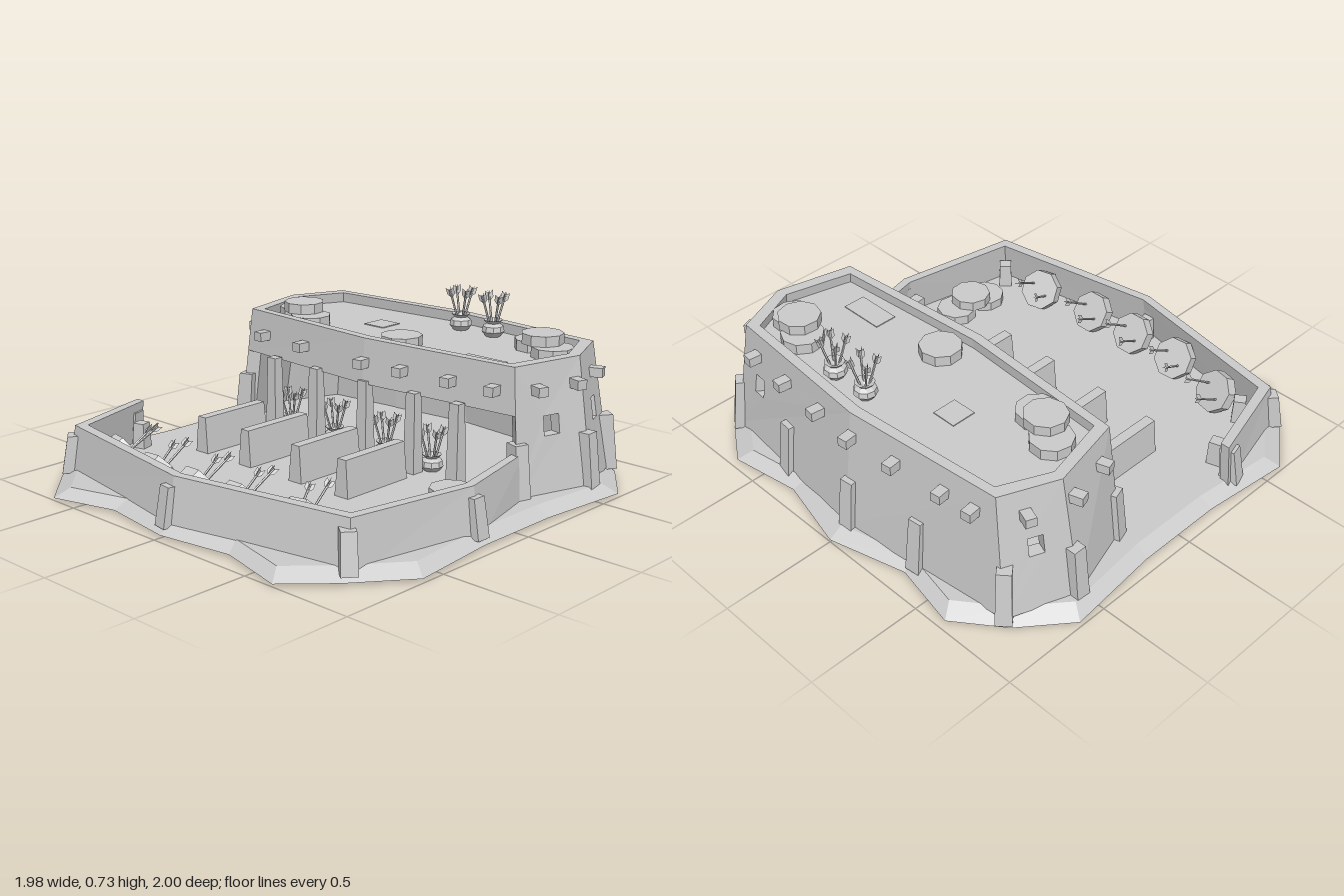
import * as THREE from 'three';

const mat = new THREE.MeshStandardMaterial({ color: 0xcccccc, flatShading: true, side: THREE.DoubleSide });
const lerp = THREE.MathUtils.lerp;

function add(parent, name, geo, x = 0, y = 0, z = 0) {
  const m = new THREE.Mesh(geo, mat);
  m.name = name;
  m.position.set(x, y, z);
  parent.add(m);
  return m;
}

// Moves every vertex by a rule
function warp(geo, rule) {
  const p = geo.attributes.position, v = new THREE.Vector3();
  for (let i = 0; i < p.count; i++) {
    rule(v.fromBufferAttribute(p, i));
    p.setXYZ(i, v.x, v.y, v.z);
  }
  geo.computeVertexNormals();
  return geo;
}

// Horizontal slab from an [x, z] outline
function slab(points, height) {
  const shape = new THREE.Shape(points.map(([x, z]) => new THREE.Vector2(x, -z)));
  return new THREE.ExtrudeGeometry(shape, { depth: height, bevelEnabled: false }).rotateX(-Math.PI / 2);
}

// Open-bottomed sheet: a sloping skirt around a flat floor
function groundSheet(rim, low, high, inner) {
  const pos = [0, high, 0], index = [], n = rim.length;
  rim.forEach(([x, z], i) => {
    pos.push(x, low, z, x * inner, high, z * inner);
    const a = 1 + 2 * i, b = 1 + 2 * ((i + 1) % n);
    index.push(a, b, b + 1, a, b + 1, a + 1, 0, a + 1, b + 1);
  });
  const g = new THREE.BufferGeometry();
  g.setAttribute('position', new THREE.Float32BufferAttribute(pos, 3));
  g.setIndex(index);
  g.computeVertexNormals();
  return g;
}

// Box standing on y = 0, narrowing towards the top
function taperBox(w, h, d, tw, td) {
  return warp(new THREE.BoxGeometry(w, h, d).translate(0, h / 2, 0), v => {
    if (v.y > h / 2) { v.x *= tw; v.z *= td; }
  });
}

// A battered wall run: bottom and top outlines, heights and an inset rule
function wallRun(bottom, top, y0, y1, inset) {
  const n = bottom.length;
  const at = (i, u, v) => {
    const a = bottom[i % n], b = bottom[(i + 1) % n], c = top[i % n], d = top[(i + 1) % n];
    return new THREE.Vector3(
      lerp(lerp(a[0], b[0], u), lerp(c[0], d[0], u), v), lerp(y0, y1, v),
      lerp(lerp(a[1], b[1], u), lerp(c[1], d[1], u), v));
  };
  const yaw = i => {
    const a = at(i, 0, 0), b = at(i, 1, 0);
    return Math.atan2(-(b.z - a.z), b.x - a.x);
  };
  // One panel, with an optional window [u0, u1, v0, v1]
  const panel = (i, vMin = 0, win = null) => {
    const rect = (C, u0, u1, v0, v1) => new C([[u0, v0], [u1, v0], [u1, v1], [u0, v1]].map(p => new THREE.Vector2(...p)));
    const s = rect(THREE.Shape, 0, 1, vMin, 1);
    if (win) s.holes.push(rect(THREE.Path, ...win));
    return warp(new THREE.ExtrudeGeometry(s, { depth: 1, bevelEnabled: false }), p => {
      const o = at(i, p.x, p.y), q = inset(o);
      p.set(lerp(q[0], o.x, p.z), o.y, lerp(q[1], o.z, p.z));
    });
  };
  return { at, yaw, panel };
}

function arrow(length) {
  const g = new THREE.Group();
  g.name = 'arrow';
  add(g, 'shaft', new THREE.CylinderGeometry(0.005, 0.005, length, 5), 0, length / 2, 0);
  const f = new THREE.Shape([[0, 0], [0.018, 0.02], [0.018, 0.05], [0, 0.035], [-0.018, 0.05], [-0.018, 0.02]]
    .map(p => new THREE.Vector2(...p)));
  for (let k = 0; k < 2; k++)
    add(g, 'feather', new THREE.ShapeGeometry(f), 0, length - 0.04, 0).rotation.y = k * Math.PI / 2 + 0.4;
  return g;
}

function quiverPot(parent, x, y, z) {
  const g = new THREE.Group();
  g.name = 'arrowPot';
  g.position.set(x, y, z);
  const prof = [[0, 0], [0.03, 0], [0.05, 0.025], [0.046, 0.048], [0.028, 0.06], [0.042, 0.075], [0.025, 0.07], [0, 0.05]];
  add(g, 'pot', new THREE.LatheGeometry(prof.map(p => new THREE.Vector2(...p)), 9));
  for (let k = 0; k < 4; k++) {
    const a = arrow(0.16), t = k * Math.PI / 2 + 0.5;
    a.position.set(Math.cos(t) * 0.01, 0.03, Math.sin(t) * 0.01);
    a.rotation.set(Math.sin(t) * 0.28, 0, -Math.cos(t) * 0.28);
    g.add(a);
  }
  parent.add(g);
}

function disc(parent, x, y, z) {
  add(parent, 'roundBale', new THREE.CylinderGeometry(0.09, 0.09, 0.045, 9), x, y + 0.0225, z).rotation.y = x * 7 + z * 3;
}

function stack(parent, y, low1, low2, high) {
  disc(parent, low1[0], y, low1[1]);
  disc(parent, low2[0], y - 0.002, low2[1]);
  disc(parent, high[0], y + 0.042, high[1]);
}

export function createModel() {
  const root = new THREE.Group();
  root.name = 'archeryYard';

  // Ground sheet with a ragged, sloping rim
  const rim = [[0, 0.97], [0.33, 0.92], [0.64, 1], [0.81, 0.83], [0.99, 0.6], [0.95, 0.2], [0.95, -0.2], [0.99, -0.62],
    [0.82, -0.85], [0.64, -0.97], [0.33, -0.92], [0, -1], [-0.34, -0.91], [-0.63, -0.97], [-0.83, -0.82],
    [-0.99, -0.62], [-0.95, -0.2], [-0.95, 0.2], [-0.99, 0.6], [-0.83, 0.81], [-0.63, 1], [-0.34, 0.92]];
  add(root, 'ground', groundSheet(rim, 0.01, 0.05, 0.94));

  // Building walls: the lower half of the front is open
  const mirrorLoop = h => [...h, ...h.slice(1, -1).reverse().map(([x, z]) => [-x, z])];
  const bTop = mirrorLoop([[0, -0.165], [0.745, -0.22], [0.82, -0.55], [0.72, -0.79], [0, -0.85]]);
  const bBot = mirrorLoop([[0, -0.125], [0.8, -0.19], [0.91, -0.54], [0.8, -0.83], [0, -0.915]]);
  const house = wallRun(bBot, bTop, 0.04, 0.575, p => [p.x * 0.94, -0.5 + (p.z + 0.5) * 0.87]);
  const windows = { 1: [0.4, 0.62, 0.45, 0.6], 2: [0.45, 0.65, 0.45, 0.62], 3: [0.13, 0.21, 0.45, 0.62], 5: [0.4, 0.62, 0.45, 0.6] };
  for (let i = 0; i < 8; i++)
    add(root, 'buildingWall', house.panel(i, i === 0 || i === 7 ? 0.635 : 0, windows[i]));
  add(root, 'roof', slab(bTop.map(([x, z]) => [x * 0.955, -0.505 + (z + 0.505) * 0.9]), 0.03), 0, 0.5, 0);

  // Flat hatches on the roof
  add(root, 'roofHatch', new THREE.BoxGeometry(0.11, 0.006, 0.11), -0.24, 0.531, -0.54);
  add(root, 'roofHatch', new THREE.BoxGeometry(0.2, 0.006, 0.1), 0.48, 0.531, -0.34);

  // Beam ends along the upper wall: [panel, positions along it]
  const beams = [[0, [0.01, 0.28, 0.6, 0.88]], [7, [0.16, 0.51]], [1, [0.3, 0.88]], [2, [0.6]], [5, [0.4]], [6, [0.12, 0.7]],
    [3, [0.14, 0.43, 0.74]], [4, [0.02, 0.33, 0.66, 0.86]]];
  for (const [i, us] of beams) for (const u of us) {
    const p = house.at(i, u, 0.81);
    add(root, 'beamEnd', new THREE.BoxGeometry(0.045, 0.04, 0.11), p.x, p.y, p.z).rotation.y = house.yaw(i);
  }

  // Buttresses that lean back against a wall
  const buttress = (run, i, u, top, turn = 0) => {
    const p = run.at(i, u, 0), h = top - 0.03;
    const geo = warp(taperBox(0.066, h, 0.08, 0.9, 0.8), v => { v.z -= v.y > h / 2 ? 0.035 : 0.015; });
    add(root, 'buttress', geo, p.x, 0.03, p.z).rotation.y = run.yaw(i) + turn;
  };
  for (const [i, u, turn] of [[1, 0.05, 0], [2, 0, -0.3], [3, 0, -0.5], [3, 0.48, 0], [4, 0.02, 0], [4, 0.46, 0], [5, 0, -0.5],
    [6, 0, -0.3], [6, 0.95, 0]]) buttress(house, i, u, 0.27, turn);

  // Low yard wall with an entrance gap at one side
  const yBot = [[-0.93, 0.33], [-0.81, 0.79], [0, 0.93], [0.81, 0.79], [0.92, 0.2], [0.81, -0.24]];
  const yTop = [[-0.91, 0.33], [-0.79, 0.76], [0, 0.895], [0.79, 0.76], [0.89, 0.2], [0.79, -0.24]];
  const yard = wallRun(yBot, yTop, 0, 0.23, p => [p.x * 0.955, p.z > 0.5 ? p.z - 0.04 : p.z]);
  for (let i = 0; i < 5; i++) add(root, 'yardWall', yard.panel(i));
  for (const [i, u, turn] of [[0, 0.12, 0], [1, 0, -0.5], [1, 0.97, 0], [3, 0, -0.5], [4, 0, -0.25]])
    buttress(yard, i, u, 0.19, turn);
  for (const [x, z, a] of [[-0.8, 0.4, 0.3], [-0.7, 0.68, 0.6], [-0.04, 0.83, 0], [0.72, 0.69, 0.8], [0.81, 0.2, 0.1]])
    add(root, 'innerBrace', taperBox(0.06, 0.13, 0.06, 0.85, 0.85), x, 0.03, z).rotation.y = a;

  // Posts under the front wall, lane dividers and arrow pots
  for (const x of [-0.54, -0.28, 0.01, 0.28, 0.51])
    add(root, 'post', taperBox(0.06, 0.36, 0.06, 0.8, 0.7), x, 0.035, -0.16);
  for (const x of [-0.55, -0.28, 0.02, 0.28]) {
    add(root, 'laneDivider', taperBox(0.075, 0.17, 0.355, 0.6, 0.98), x, 0.038, 0.095);
    quiverPot(root, x + 0.04, 0.045, -0.235);
  }
  for (const x of [0.075, 0.255]) quiverPot(root, x, 0.528, -0.71);

  // Targets leaning on the front wall, each with two arrows
  for (const [x, z, yaw] of [[-0.575, 0.675, -0.2], [-0.3, 0.73, 0.08], [-0.05, 0.735, 0], [0.19, 0.73, 0], [0.48, 0.69, 0.25]]) {
    const t = new THREE.Group();
    t.name = 'target';
    t.position.set(x, 0.13, z);
    t.rotation.set(-1.03, yaw, 0, 'YXZ');
    add(t, 'targetDisc', new THREE.CylinderGeometry(0.092, 0.092, 0.05, 8).rotateY(Math.PI / 8));
    for (const s of [-1, 1]) {
      const a = arrow(0.17);
      a.position.set(s * 0.035, 0.005, s * 0.02);
      a.rotation.z = -s * 0.08 + 0.05;
      t.add(a);
    }
    root.add(t);
  }

  // Piles of round bales on the roof and in the yard
  stack(root, 0.53, [-0.63, -0.41], [-0.48, -0.33], [-0.555, -0.365]);
  stack(root, 0.53, [0.52, -0.66], [0.65, -0.6], [0.58, -0.625]);
  disc(root, 0.07, 0.53, -0.32);
  stack(root, 0.048, [0.65, -0.03], [0.66, 0.14], [0.67, 0.06]);
  stack(root, 0.048, [0.7, 0.35], [0.69, 0.52], [0.695, 0.435]);

  return root;
}
